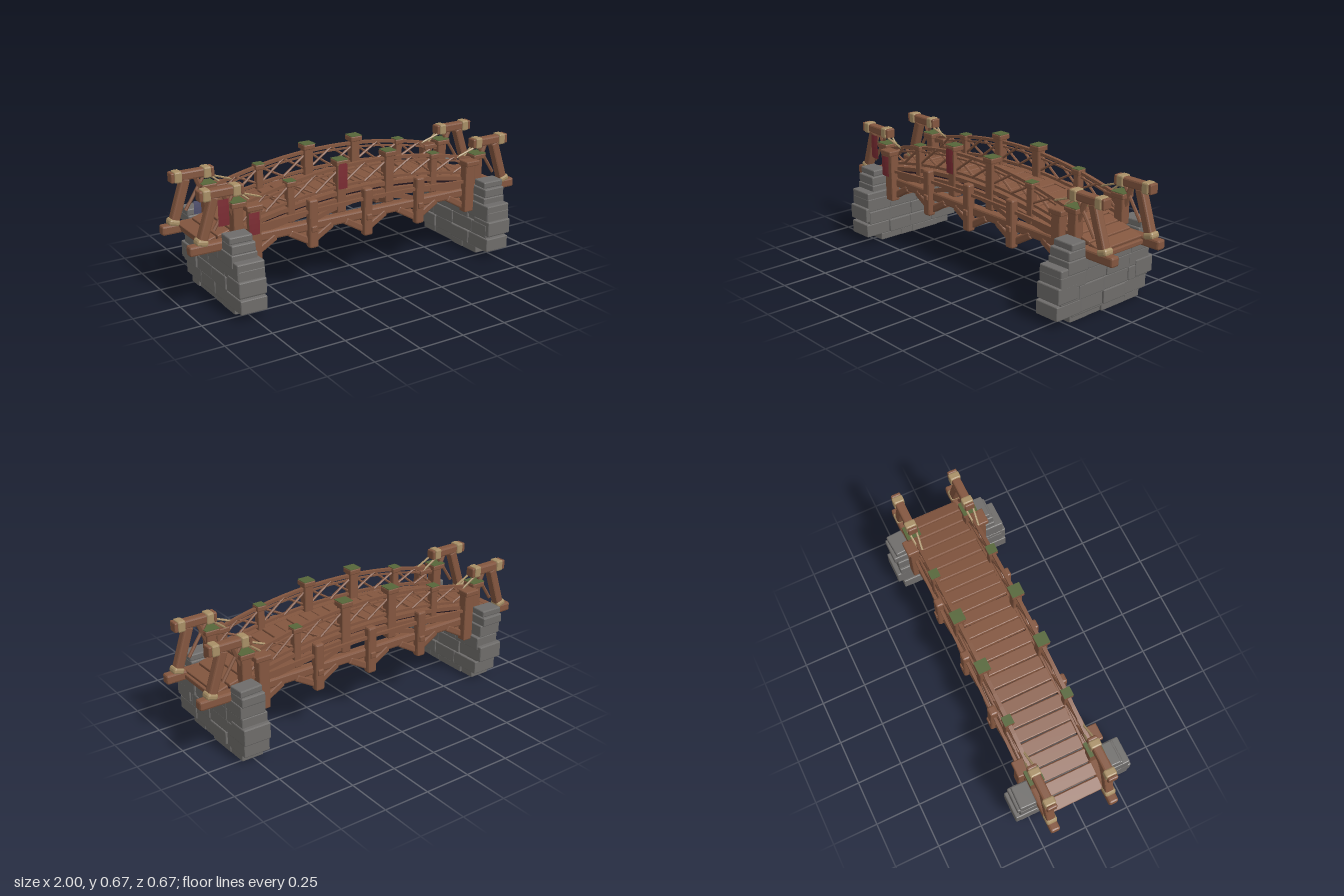
import * as THREE from 'three';
import { RoundedBoxGeometry } from 'three/addons/geometries/RoundedBoxGeometry.js';

const mat = (name, color, extra = {}) => {
  const m = new THREE.MeshStandardMaterial({ color, flatShading: true, ...extra });
  m.name = name;
  return m;
};

export function createModel() {
  const root = new THREE.Group();
  root.name = 'footbridge';
  const wood = mat('wood', 0x83563f);
  const stone = mat('stone', 0x6e6c6a);
  const rope = mat('rope', 0xa88f66);
  const moss = mat('moss', 0x566639);
  const red = mat('red cloth', 0x7c2c33);
  const blue = mat('blue cloth', 0x50506e);
  const dark = mat('dark underside', 0x1f1219, { side: THREE.DoubleSide });

  let seed = 7;
  const rnd = () => ((seed = (seed * 16807) % 2147483647) / 2147483647);
  const jit = (a) => (rnd() - 0.5) * 2 * a;
  const V = (x, y, z) => new THREE.Vector3(x, y, z);

  const group = (name) => {
    const g = new THREE.Group();
    g.name = name;
    root.add(g);
    return g;
  };
  const put = (g, name, geo, m, x = 0, y = 0, z = 0) => {
    const mesh = new THREE.Mesh(geo, m);
    mesh.name = name;
    mesh.position.set(x, y, z);
    g.add(mesh);
    return mesh;
  };
  // chamfered box centred on a point
  const block = (g, name, m, x, y, z, w, h, d, r = 0.006) =>
    put(g, name, new RoundedBoxGeometry(w, h, d, 1, Math.min(r, w / 3, h / 3, d / 3)), m, x, y, z);
  // square timber or round pole between two points
  const aim = (mesh, a, b) => {
    mesh.position.copy(a).add(b).multiplyScalar(0.5);
    mesh.quaternion.setFromUnitVectors(V(0, 1, 0), b.clone().sub(a).normalize());
    return mesh;
  };
  const timber = (g, name, m, a, b, w) => {
    const len = a.distanceTo(b);
    return aim(put(g, name, new RoundedBoxGeometry(w, len, w, 1, Math.min(w * 0.2, len / 3)), m), a, b);
  };
  const pole = (g, name, m, a, b, r, sides = 6) =>
    aim(put(g, name, new THREE.CylinderGeometry(r, r, a.distanceTo(b), sides), m), a, b);
  // curved timber: top edge y = top - k x^2
  const arch = (g, name, m, top, thick, k, half, z, width) => {
    const n = 20, up = [], low = [];
    for (let i = 0; i <= n; i++) {
      const x = half * ((2 * i) / n - 1);
      up.push(new THREE.Vector2(x, top - k * x * x));
      low.unshift(new THREE.Vector2(x, top - thick - k * x * x));
    }
    const geo = new THREE.ExtrudeGeometry(new THREE.Shape([...up, ...low]), { depth: width, bevelEnabled: false });
    return put(g, name, geo, m, 0, 0, z - width / 2);
  };

  const CZ = -0.03;
  const deckY = (x) => 0.508 - 0.165 * x * x;
  const railY = (x) => 0.635 - 0.2 * x * x;

  // Stone piers: rows of [bottom, top, z min, z max, inner x, outer x, stone count]
  const rows = [
    [0.004, 0.046, -0.265, 0.23, 0.69, 0.81, 4],
    [0.046, 0.12, -0.305, 0.335, 0.68, 0.825, 4],
    [0.12, 0.194, -0.305, 0.315, 0.685, 0.83, 4],
    [0.194, 0.268, -0.31, 0.322, 0.685, 0.83, 4],
    [0.268, 0.337, -0.312, 0.275, 0.695, 0.835, 4],
  ];
  for (const s of [-1, 1]) {
    const pier = group(s > 0 ? 'leftPier' : 'rightPier');
    block(pier, 'pierCore', stone, s * 0.757, 0.18, -0.01, 0.11, 0.3, 0.46);
    for (const [y0, y1, z0, z1, xi, xo, n] of rows) {
      const cuts = [z0];
      for (let i = 1; i < n; i++) cuts.push(z0 + ((z1 - z0) * i) / n + jit(0.035));
      cuts.push(z1);
      for (let i = 0; i < n; i++) {
        block(pier, 'stone', stone, (s * (xi + xo)) / 2 + jit(0.006), (y0 + y1) / 2, (cuts[i] + cuts[i + 1]) / 2,
          xo - xi, y1 - y0, cuts[i + 1] - cuts[i], 0.005);
      }
    }
    // larger corner stones bridging the rows
    block(pier, 'cornerStone', stone, s * 0.76, 0.175, 0.272, 0.15, 0.084, 0.13);
    block(pier, 'cornerStone', stone, s * 0.76, 0.173, -0.272, 0.15, 0.09, 0.125);
    block(pier, 'cornerStone', stone, s * 0.76, 0.26, 0.235, 0.148, 0.088, 0.172);
    // upper stones flanking the deck
    for (const t of [-1, 1]) {
      const end = t > 0 ? 0.272 : -0.328;
      const inner = t > 0 ? 0.16 : -0.22;
      block(pier, 'shoulderStone', stone, s * 0.77, 0.361, (end + inner) / 2, 0.13, 0.05, Math.abs(end - inner));
      const top = block(pier, 'topStone', stone, s * 0.775, 0.403, (end + inner) / 2 - t * 0.006, 0.125, 0.036, 0.09);
      top.rotation.y = jit(0.08);
    }
  }

  // Deck planks following the arch
  const deck = group('deck');
  const count = 24;
  for (let i = 0; i < count; i++) {
    const x = -0.875 + (1.73 * i) / (count - 1);
    const p = block(deck, 'plank', wood, x, deckY(x) - 0.012 + jit(0.002), CZ + jit(0.004), 0.071, 0.024, 0.3, 0.005);
    p.rotation.z = Math.atan(-0.33 * x);
    p.rotation.y = jit(0.012);
  }
  arch(deck, 'deckUnderside', dark, 0.432, 0.005, 0.125, 0.88, CZ, 0.31);
  for (const s of [-1, 1]) timber(deck, 'endBeam', wood, V(s * 0.89, 0.347, CZ - 0.15), V(s * 0.89, 0.347, CZ + 0.15), 0.026);

  // Cross beams below the deck
  const supports = [-0.66, -0.33, 0, 0.33, 0.66];
  for (const x of supports) timber(deck, 'crossBeam', wood, V(x, 0.275, CZ - 0.2), V(x, 0.275, CZ + 0.2), 0.035);

  for (const t of [-1, 1]) {
    const side = group(t > 0 ? 'frontSide' : 'backSide');
    const z = CZ + t * 0.165;
    const zo = CZ + t * 0.197;

    // Long base beam, arched stringers and the dark lining behind them
    timber(side, 'baseBeam', wood, V(-1, 0.35, z), V(1, 0.35, z), 0.052);
    arch(side, 'lowerRib', wood, 0.452, 0.025, 0.65, 0.36, z + t * 0.008, 0.022);
    arch(side, 'ribLining', dark, 0.452, 0.025, 0.65, 0.36, z - t * 0.006, 0.004);
    arch(side, 'stringerLining', dark, 0.468, 0.042, 0.165, 0.72, z - t * 0.012, 0.004);
    arch(side, 'stringer', wood, 0.468, 0.042, 0.165, 0.72, z + t * 0.004, 0.025);
    arch(side, 'upperStringer', wood, 0.508, 0.022, 0.165, 0.72, z, 0.035);
    arch(side, 'outerRail', wood, 0.45, 0.016, 0.06, 0.68, zo, 0.014);

    // Outer truss posts with knee braces
    for (const x of supports) {
      const isEnd = Math.abs(x) > 0.5;
      if (isEnd) {
        block(side, 'endPost', wood, x, 0.385, zo, 0.06, 0.28, 0.052);
        block(side, 'endPostCap', wood, Math.sign(x) * 0.668, 0.525, zo - t * 0.003, 0.088, 0.03, 0.085);
      } else {
        block(side, 'trussPost', wood, x, 0.37, zo, 0.052, 0.26, 0.045, 0.01);
        block(side, 'trussPostPeg', wood, x, 0.345, zo + t * 0.02, 0.034, 0.034, 0.02);
      }
      for (const s of [-1, 1]) {
        if (isEnd && s === Math.sign(x)) continue;
        timber(side, 'kneeBrace', wood, V(x + s * 0.012, 0.272, z + t * 0.01), V(x + s * 0.125, 0.338, z + t * 0.01), 0.038);
      }
    }

    // Railing posts with mossy caps: [x, top, post width, cap width]
    for (const s of [-1, 1]) {
      for (const [x, top, w, c] of [[0.148, 0.672, 0.052, 0.07], [0.44, 0.608, 0.04, 0.054], [0.738, 0.56, 0.055, 0.082]]) {
        block(side, 'railPost', wood, s * x, (top + 0.39) / 2 - 0.01, z, w, top - 0.41, w);
        block(side, 'railPostCap', wood, s * x, top - 0.015, z, c, 0.03, c);
        put(side, 'mossCap', new THREE.BoxGeometry(c - 0.002, 0.003, c - 0.002), moss, s * x, top + 0.001, z);
      }
    }

    // Handrails and crossed lattice
    arch(side, 'topRail', wood, 0.64, 0.016, 0.2, 0.73, z, 0.02);
    arch(side, 'middleRail', wood, 0.612, 0.009, 0.2, 0.73, z, 0.012);
    arch(side, 'lowerRail', wood, 0.535, 0.014, 0.165, 0.73, z, 0.018);
    const bays = [-0.71, -0.58, -0.44, -0.295, -0.148, 0, 0.148, 0.295, 0.44, 0.58, 0.71];
    for (let i = 0; i < bays.length - 1; i++) {
      const [a, b] = [bays[i], bays[i + 1]];
      const low = (x) => 0.528 - 0.165 * x * x;
      pole(side, 'lattice', wood, V(a, low(a), z + 0.005), V(b, railY(b) - 0.006, z + 0.005), 0.007);
      pole(side, 'lattice', wood, V(a, railY(a) - 0.006, z - 0.005), V(b, low(b), z - 0.005), 0.007);
    }

    // End frames with rope bindings just inside the beam ends
    for (const s of [-1, 1]) {
      const f = group('endFrame');
      timber(f, 'frameBeam', wood, V(s * 0.72, 0.618, z), V(s * 0.92, 0.618, z), 0.048);
      for (const [end, inner] of [[0.711, 0.74], [0.929, 0.9]]) {
        block(f, 'beamEnd', wood, s * end, 0.618, z, 0.02, 0.054, 0.054, 0.007);
        block(f, 'beamBinding', rope, s * inner, 0.618, z, 0.042, 0.06, 0.06, 0.008);
      }
      timber(f, 'frameLeg', wood, V(s * 0.935, 0.36, z), V(s * 0.855, 0.605, z), 0.048);
      timber(f, 'legBinding', rope, V(s * 0.936, 0.366, z), V(s * 0.926, 0.4, z), 0.06);
      pole(f, 'frameBrace', wood, V(s * 0.725, 0.42, z), V(s * 0.8, 0.605, z), 0.015);
      pole(f, 'frameBrace', wood, V(s * 0.86, 0.43, z), V(s * 0.75, 0.6, z), 0.009);
      pole(f, 'tieRope', rope, V(s * 0.72, 0.6, z + 0.02), V(s * 0.6, 0.555, z + 0.005), 0.006);
      pole(f, 'tieRope', rope, V(s * 0.72, 0.595, z - 0.02), V(s * 0.64, 0.53, z - 0.005), 0.006);
    }
  }

  // Cloth hangings, bowed slightly outwards: [x, y, z, width, height]
  const cloth = group('hangings');
  const hang = (name, m, x, y, z, w, h) => {
    const geo = new THREE.PlaneGeometry(w, h, 4, 4);
    const p = geo.attributes.position;
    for (let i = 0; i < p.count; i++) {
      const u = (2 * p.getX(i)) / w, v = (2 * p.getY(i)) / h;
      p.setZ(i, -0.003 * u * u - 0.002 * v * v);
    }
    put(cloth, name, geo, m, x, y, z);
  };
  hang('redHanging', red, -0.82, 0.522, 0.17, 0.058, 0.135);
  hang('redHanging', red, -0.675, 0.447, 0.206, 0.058, 0.115);
  hang('redHanging', red, -0.148, 0.588, 0.174, 0.054, 0.135);
  hang('blueHanging', blue, -0.805, 0.445, -0.165, 0.04, 0.07);

  return root;
}
